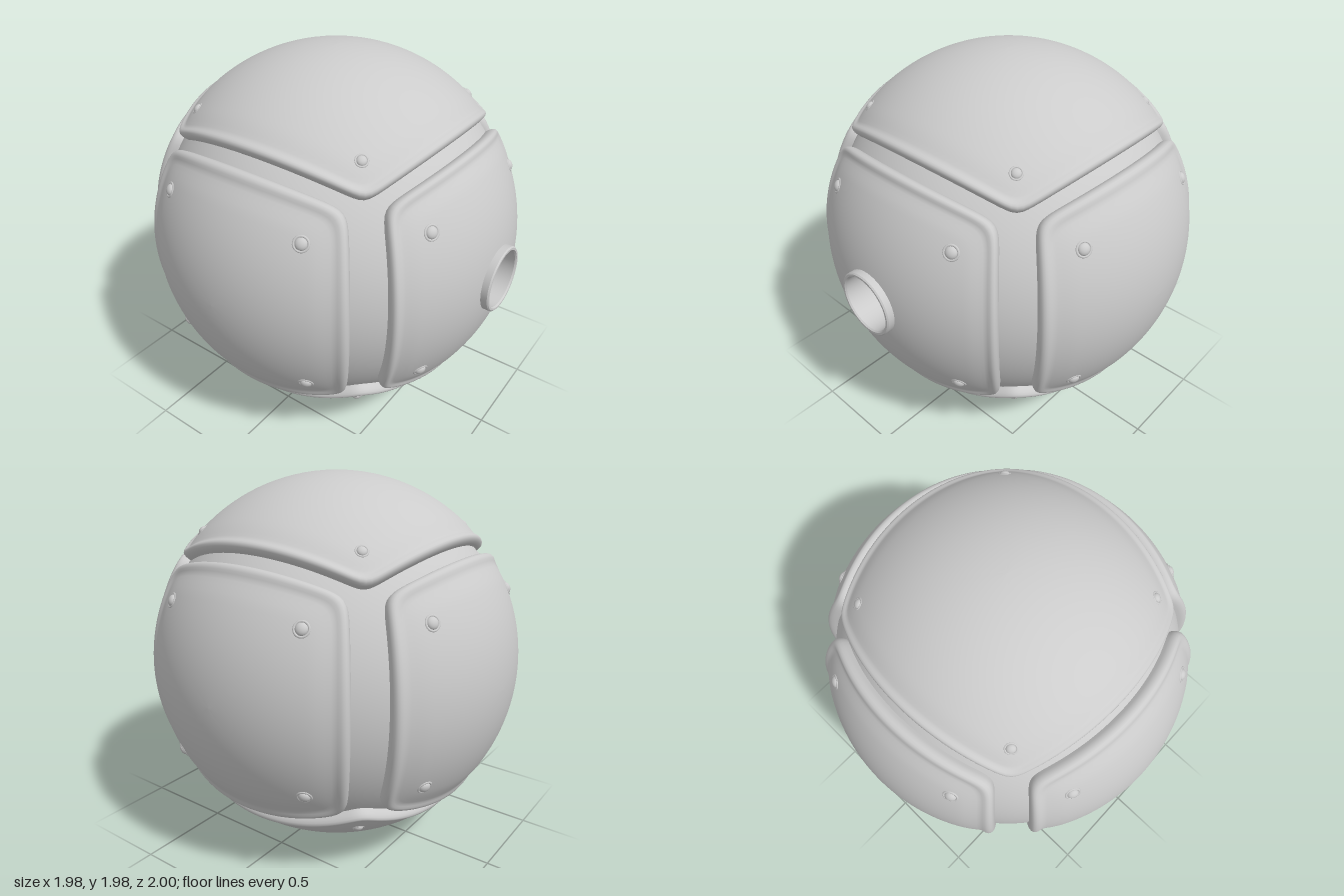
import * as THREE from 'three';

const CENTER = [0, 0.9875, -0.0125];
const material = new THREE.MeshStandardMaterial({ color: 0xcccccc, side: THREE.DoubleSide });

function part(name, geometry) {
  const mesh = new THREE.Mesh(geometry, material);
  mesh.name = name;
  return mesh;
}

// Cross-section of a panel: [distance in from its edge, distance from the ball's centre]
const EDGE = [
  [0, 0.925], [0, 0.955], [0.006, 0.971], [0.018, 0.984], [0.035, 0.992], [0.055, 0.995],
  [0.075, 0.993], [0.095, 0.988], [0.115, 0.984], [0.14, 0.983], [0.18, 0.985], [0.23, 0.9865],
];

// Rounded-square shell facing +z, swept in rings from the edge to the middle (or to a round hole)
function panelGeometry(half, power, hole) {
  const segments = 192, inner = 18;
  const rings = EDGE.map(([d, r]) => [1 - d / half, r]);
  const last = rings[rings.length - 1][0];
  for (let i = 1; i <= inner; i++) rings.push([last * (1 - i / inner), 0.9875]);

  const positions = [], index = [];
  rings.forEach(([s, r]) => {
    for (let j = 0; j < segments; j++) {
      const a = (j / segments) * Math.PI * 2, c = Math.cos(a), n = Math.sin(a);
      const outline = half / Math.pow(Math.abs(c) ** power + Math.abs(n) ** power, 1 / power);
      const reach = hole + (outline - hole) * s;
      const p = new THREE.Vector3(c * reach, n * reach, 1).setLength(r);
      positions.push(p.x, p.y, p.z);
    }
  });
  for (let i = 0; i < rings.length - 1; i++) {
    for (let j = 0; j < segments; j++) {
      const k = (j + 1) % segments;
      const a = i * segments + j, b = i * segments + k;
      index.push(a, b, b + segments, a, b + segments, a + segments);
    }
  }
  const geometry = new THREE.BufferGeometry();
  geometry.setAttribute('position', new THREE.Float32BufferAttribute(positions, 3));
  geometry.setIndex(index);
  geometry.computeVertexNormals();
  return geometry;
}

// Domed bolt sitting in a thin collar, pointing along +z
function createBolt(size) {
  const bolt = new THREE.Group();
  bolt.name = 'bolt';
  const head = part('boltHead', new THREE.SphereGeometry(0.027, 20, 12));
  head.scale.z = 0.65;
  const collar = part('boltCollar', new THREE.TorusGeometry(0.031, 0.006, 8, 28));
  bolt.add(head, collar);
  bolt.scale.setScalar(size);
  return bolt;
}

function createPanel({ name, half, power, bolt, boltSize, hole = 0 }) {
  const panel = new THREE.Group();
  panel.name = name;
  panel.add(part('panelShell', panelGeometry(half, power, hole)));
  for (const sx of [-1, 1]) {
    for (const sy of [-1, 1]) {
      const b = createBolt(boltSize);
      const direction = new THREE.Vector3(sx * bolt, sy * bolt, 1).normalize();
      b.position.copy(direction).multiplyScalar(0.985);
      b.quaternion.setFromUnitVectors(new THREE.Vector3(0, 0, 1), direction);
      panel.add(b);
    }
  }
  return panel;
}

// Recessed socket with a raised lip and a round lens at the bottom
function createEye() {
  const eye = new THREE.Group();
  eye.name = 'eye';
  const profile = [
    [0.17, 0.93], [0.17, 1.006], [0.164, 1.0125], [0.153, 1.0125], [0.147, 1.005],
    [0.147, 0.8], [0.128, 0.8], [0.128, 0.74], [0, 0.74],
  ];
  // Doubled points keep the edges crisp
  const points = profile.flatMap(([r, z]) => [new THREE.Vector2(r, z), new THREE.Vector2(r, z)]);
  const socket = part('eyeSocket', new THREE.LatheGeometry(points, 64));
  socket.rotation.x = Math.PI / 2;
  const lens = part('eyeLens', new THREE.SphereGeometry(0.115, 40, 24));
  lens.position.z = 0.74;
  eye.add(socket, lens);
  return eye;
}

export function createModel() {
  const model = new THREE.Group();
  model.name = 'panelledBall';
  const ball = new THREE.Group();
  ball.name = 'ball';
  ball.position.set(...CENTER);
  model.add(ball);

  // Inner ball, open at the front for the eye socket
  const opening = Math.asin(0.16 / 0.94);
  const core = part('innerBall',
    new THREE.SphereGeometry(0.94, 96, 64, 0, Math.PI * 2, opening, Math.PI - opening));
  core.rotation.x = Math.PI / 2;
  ball.add(core);

  // Four panels around the sides, larger ones on top and bottom
  const side = { half: 0.83, power: 14, bolt: 0.5, boltSize: 1.1 };
  const cap = { half: 1.04, power: 20, bolt: 0.71, boltSize: 0.9 };
  ['frontPanel', 'leftPanel', 'backPanel', 'rightPanel'].forEach((name, i) => {
    const panel = createPanel({ ...side, name, hole: i === 0 ? 0.165 : 0 });
    panel.rotation.y = (i * Math.PI) / 2;
    ball.add(panel);
  });
  for (const [name, turn] of [['topPanel', -1], ['bottomPanel', 1]]) {
    const panel = createPanel({ ...cap, name });
    panel.rotation.x = (turn * Math.PI) / 2;
    ball.add(panel);
  }

  ball.add(createEye());
  return model;
}
